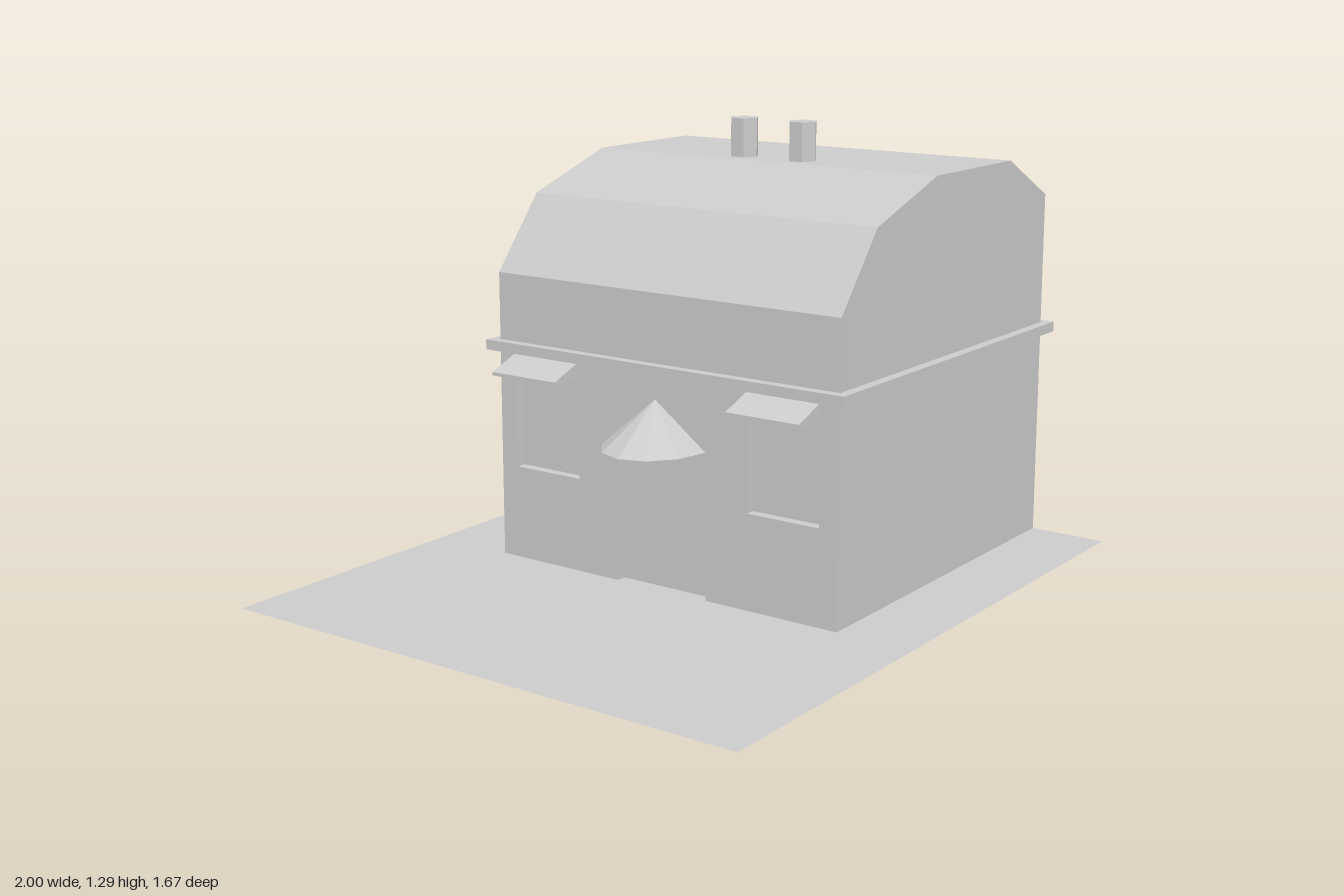
import * as THREE from 'three';

const X0 = -0.195, X1 = 0.967, Z0 = -0.575, Z1 = 0.602, ZC = 0.0135;
const COURSE_Y = 0.63, COURSE_TOP = 0.66;

const material = new THREE.MeshStandardMaterial({
  color: 0xcccccc, flatShading: true, side: THREE.DoubleSide,
});

function add(parent, name, geometry) {
  const mesh = new THREE.Mesh(geometry, material);
  mesh.name = name;
  parent.add(mesh);
  return mesh;
}

// Flat-faced surface stretched between successive cross-sections
function sheet(sections) {
  const p = [];
  for (let i = 0; i < sections.length - 1; i++) {
    const a = sections[i], b = sections[i + 1];
    for (let j = 0; j < a.length - 1; j++) {
      p.push(...a[j], ...a[j + 1], ...b[j + 1], ...a[j], ...b[j + 1], ...b[j]);
    }
  }
  const g = new THREE.BufferGeometry();
  g.setAttribute('position', new THREE.Float32BufferAttribute(p, 3));
  g.computeVertexNormals();
  return g;
}

// Closed rectangle around the house, pushed out by d at height y
const ring = (d, y) => [
  [X0 - d, y, Z0 - d], [X0 - d, y, Z1 + d], [X1 + d, y, Z1 + d],
  [X1 + d, y, Z0 - d], [X0 - d, y, Z0 - d],
];

const rectPoints = (a, b, c, d) =>
  [[a, b], [c, b], [c, d], [a, d]].map(([x, y]) => new THREE.Vector2(x, y));

// Shallow box set into the entrance wall, with a closed back
function recess(parent, name, z0, z1, y0, y1, depth = 0.03) {
  const loop = (x) => [[x, y0, z0], [x, y0, z1], [x, y1, z1], [x, y1, z0], [x, y0, z0]];
  const group = new THREE.Group();
  group.name = name;
  parent.add(group);
  add(group, name + 'Reveal', sheet([loop(X0), loop(X0 + depth)]));
  const panel = add(group, name + 'Panel', new THREE.PlaneGeometry(z1 - z0, y1 - y0));
  panel.rotation.y = -Math.PI / 2;
  panel.position.set(X0 + depth, (y0 + y1) / 2, (z0 + z1) / 2);
}

export function createModel() {
  const model = new THREE.Group();
  model.name = 'house';

  // Ground sheet, open under the house
  const plot = new THREE.Shape(rectPoints(-1, -0.837, X1, 0.837));
  plot.holes.push(new THREE.Path(rectPoints(X0, Z0, X1, Z1)));
  add(model, 'ground', new THREE.ShapeGeometry(plot).rotateX(Math.PI / 2));

  // Three plain lower walls
  add(model, 'lowerWalls', sheet([0, COURSE_Y].map((y) => ring(0, y).slice(1))));

  // Entrance wall with openings for a door and two windows
  const door = [ZC - 0.155, 0, ZC + 0.155, 0.43];
  const windows = [-0.412, 0.412].map((o) => [ZC + o - 0.117, 0.28, ZC + o + 0.117, 0.577]);
  const wall = new THREE.Shape([
    [Z0, 0], [door[0], 0], [door[0], door[3]], [door[2], door[3]], [door[2], 0],
    [Z1, 0], [Z1, COURSE_Y], [Z0, COURSE_Y],
  ].map(([z, y]) => new THREE.Vector2(z, y)));
  windows.forEach((w) => wall.holes.push(new THREE.Path(rectPoints(...w))));
  add(model, 'entranceWall',
    new THREE.ShapeGeometry(wall).rotateY(-Math.PI / 2).translate(X0, 0, 0));

  recess(model, 'door', door[0], door[2], door[1], door[3]);

  // Windows, each under a small wedge awning
  const awning = new THREE.Shape([
    [-0.3, 0.577], [X0, 0.577], [X0, 0.627], [-0.3, 0.587],
  ].map(([x, y]) => new THREE.Vector2(x, y)));
  for (const w of windows) {
    recess(model, 'window', w[0], w[2], w[1], w[3]);
    const depth = w[2] - w[0];
    add(model, 'windowAwning',
      new THREE.ExtrudeGeometry(awning, { depth, bevelEnabled: false }).translate(0, 0, w[0]));
  }

  // Faceted half-cone canopy over the door
  const rim = [];
  for (let i = 0; i <= 6; i++) {
    const a = (i / 6) * Math.PI;
    rim.push([X0 - 0.195 * Math.sin(a), 0.43, ZC - 0.155 * Math.cos(a)]);
  }
  rim.push(rim[0]);
  const same = (pt) => rim.map(() => pt);
  add(model, 'doorCanopy', sheet([same([X0, 0.43, ZC]), rim, same([-0.22, 0.565, ZC])]));

  // Hollow moulding between the storeys
  add(model, 'stringCourse', sheet([
    ring(0, COURSE_Y), ring(0.03, COURSE_Y), ring(0.03, COURSE_TOP), ring(0, COURSE_TOP),
  ]));

  // Upper storey: side walls and bent roof in one strip, closed by two gables
  const profile = [
    [X0, COURSE_TOP], [X0, 0.86], [-0.02, 1.075], [0.295, 1.18],
    [0.73, 1.18], [X1, 1.055], [X1, COURSE_TOP],
  ];
  add(model, 'roof', sheet([Z0, Z1].map((z) => profile.map(([x, y]) => [x, y, z]))));
  const gable = new THREE.Shape(profile.map(([x, y]) => new THREE.Vector2(x, y)));
  for (const z of [Z0, Z1]) {
    add(model, 'gable', new THREE.ShapeGeometry(gable).translate(0, 0, z));
  }

  // Six-sided chimneys
  for (const o of [-0.103, 0.103]) {
    add(model, 'chimney', new THREE.CylinderGeometry(0.044, 0.044, 0.125, 6))
      .position.set(0.375, 1.2325, ZC - 0.008 + o);
  }

  return model;
}
